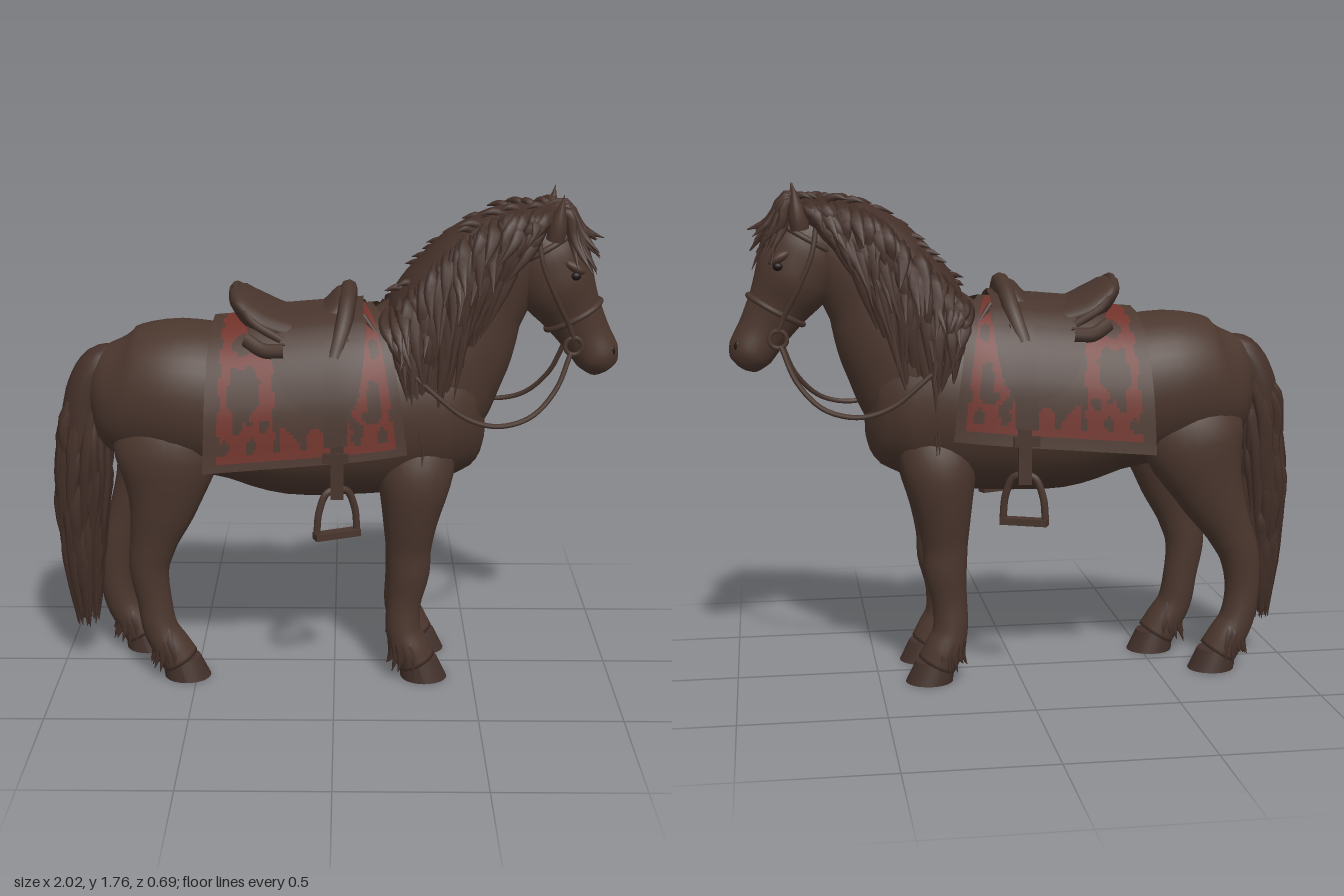
import * as THREE from 'three';
import { mergeGeometries } from 'three/addons/utils/BufferGeometryUtils.js';

const V = (x, y, z) => new THREE.Vector3(x, y, z);
const mat = (name, color, side = THREE.FrontSide) => {
  const m = new THREE.MeshStandardMaterial({ color, side });
  m.name = name;
  return m;
};
let seed = 7;
const rnd = () => (seed = (seed * 16807) % 2147483647) / 2147483647;
const jit = (s) => (rnd() - 0.5) * 2 * s;

// Smooth body through elliptical sections [x, y, z, halfDepth, halfWidthZ]
function loft(rows, steps = 24, sides = 24) {
  const path = new THREE.CatmullRomCurve3(rows.map((r) => V(r[0], r[1], r[2])));
  const size = new THREE.CatmullRomCurve3(rows.map((r) => V(r[3], r[4], 0)));
  const pos = [], idx = [];
  for (let i = 0; i <= steps; i++) {
    const t = i / steps, c = path.getPoint(t), s = size.getPoint(t);
    const d = path.getPoint(Math.min(1, t + 0.01)).sub(path.getPoint(Math.max(0, t - 0.01)));
    const l = Math.hypot(d.x, d.y) || 1;
    for (let j = 0; j < sides; j++) {
      const p = (j / sides) * Math.PI * 2;
      const a = Math.max(0.001, s.x) * Math.cos(p), b = Math.max(0.001, s.y) * Math.sin(p);
      pos.push(c.x - (a * d.y) / l, c.y + (a * d.x) / l, c.z + b);
      if (i < steps) {
        const k = i * sides + j, n = i * sides + ((j + 1) % sides);
        idx.push(k, n, k + sides, n, n + sides, k + sides);
      }
    }
  }
  const first = rows[0], last = rows[rows.length - 1], c0 = pos.length / 3;
  pos.push(first[0], first[1], first[2], last[0], last[1], last[2]);
  for (let j = 0; j < sides; j++) {
    const n = (j + 1) % sides, e = steps * sides;
    idx.push(c0, n, j, c0 + 1, e + j, e + n);
  }
  const g = new THREE.BufferGeometry();
  g.setAttribute('position', new THREE.Float32BufferAttribute(pos, 3));
  g.setIndex(idx);
  g.computeVertexNormals();
  return g;
}

// Tapered lock of hair through points [x, y, z]
const lock = (pts, w, th) => loft(pts.map((p, i) => {
  const k = [0.6, 1, 0.8, 0.04][i];
  return [...p, w * k, th * k];
}), 9, 6);

// Cloth hanging over the back; s runs from -1 (right hem) over 0 (spine) to 1 (left hem)
const hang = new THREE.CatmullRomCurve3(
  [V(0, 1.31, 0), V(0, 1.285, 0.1), V(0, 1.2, 0.205), V(0, 1.05, 0.28), V(0, 0.83, 0.31)]);
function drape(left, right, s0, s1, off, isRed, nu = 40, nv = 60) {
  const pos = [], plain = [], red = [];
  for (let j = 0; j <= nv; j++) {
    const s = s0 + ((s1 - s0) * j) / nv, v = Math.abs(s), p = hang.getPoint(v);
    for (let i = 0; i <= nu; i++) {
      const u = i / nu, x = left(v) + (right(v) - left(v)) * u;
      const z = p.z * (1 - 0.12 * Math.max(0, x / 0.25) ** 2) + off * Math.min(1, v * 3);
      pos.push(x, p.y + (x + 0.43) * 0.085 + off * (1 - v), Math.sign(s) * z);
      if (i < nu && j < nv) {
        const k = j * (nu + 1) + i, n = k + nu + 1;
        (isRed && isRed(u, v) ? red : plain).push(k, n, k + 1, n, n + 1, k + 1);
      }
    }
  }
  const g = new THREE.BufferGeometry();
  g.setAttribute('position', new THREE.Float32BufferAttribute(pos, 3));
  g.setIndex(plain.concat(red));
  g.addGroup(0, plain.length, 0);
  g.addGroup(plain.length, red.length, 1);
  g.computeVertexNormals();
  return g;
}

const tube = (pts, r, closed = false) => new THREE.TubeGeometry(
  new THREE.CatmullRomCurve3(pts.map((p) => V(...p)), closed), 40, r, 8, closed);

export function createModel() {
  const group = new THREE.Group();
  const coat = mat('coat', 0x4a362d), hair = mat('hair', 0x443029), leather = mat('leather', 0x48352d, THREE.DoubleSide);
  const cloth = mat('cloth', 0x4b372e, THREE.DoubleSide), red = mat('red cloth', 0x70322a, THREE.DoubleSide);
  const hoofMat = mat('hoof', 0x42302a), dark = mat('eye', 0x1c1412);
  const add = (name, geo, m) => {
    const mesh = new THREE.Mesh(geo, m);
    mesh.name = name;
    group.add(mesh);
  };

  // Trunk, neck and head
  add('body', loft([[-0.88, 1.06, 0, 0.06, 0.05], [-0.83, 1.055, 0, 0.155, 0.13], [-0.73, 1.035, 0, 0.235, 0.205],
    [-0.55, 1.03, 0, 0.27, 0.248], [-0.35, 1.0, 0, 0.275, 0.25], [-0.15, 0.965, 0, 0.3, 0.262], [0.05, 0.97, 0, 0.305, 0.26],
    [0.25, 0.985, 0, 0.31, 0.24], [0.4, 0.96, 0, 0.275, 0.21], [0.49, 0.94, 0, 0.18, 0.15], [0.53, 0.94, 0, 0.07, 0.06]], 44, 36), coat);
  add('neck', loft([[0.2, 1.0, 0, 0.26, 0.2], [0.29, 1.1, 0, 0.29, 0.21], [0.39, 1.23, 0, 0.25, 0.175],
    [0.5, 1.4, 0, 0.19, 0.13], [0.62, 1.52, 0, 0.15, 0.11], [0.74, 1.57, 0, 0.09, 0.08]], 30, 32), coat);
  add('head', loft([[0.67, 1.65, 0, 0.05, 0.05], [0.69, 1.6, 0, 0.115, 0.09], [0.725, 1.52, 0, 0.148, 0.112],
    [0.77, 1.43, 0, 0.14, 0.115], [0.83, 1.33, 0, 0.106, 0.083], [0.885, 1.24, 0, 0.087, 0.072],
    [0.925, 1.175, 0, 0.08, 0.078], [0.95, 1.13, 0, 0.052, 0.052], [0.956, 1.12, 0, 0.02, 0.02]], 36, 28), coat);

  // Left and right face details
  for (const s of [1, -1]) {
    const ear = new THREE.ConeGeometry(0.045, 0.16, 16, 6);
    const e = ear.attributes.position;
    for (let i = 0; i < e.count; i++) {
      const fat = 1 + 0.5 * Math.max(0, Math.sin(((e.getY(i) + 0.08) / 0.16) * Math.PI));
      e.setXYZ(i, e.getX(i) * fat * 0.7, e.getY(i), e.getZ(i) * fat * 0.9);
    }
    ear.rotateX(0.1 * s).rotateZ(-0.15).translate(0.76, 1.68, 0.118 * s);
    ear.computeVertexNormals();
    add('ear', ear, coat);
    add('eye', new THREE.SphereGeometry(0.018, 14, 10).scale(1, 0.8, 0.7).translate(0.825, 1.475, 0.1 * s), dark);
    add('brow', new THREE.SphereGeometry(0.035, 14, 10).scale(1.2, 0.5, 0.6).rotateZ(-0.5).translate(0.82, 1.505, 0.095 * s), coat);
    add('nostril', new THREE.SphereGeometry(0.016, 12, 8).scale(0.8, 1.2, 0.5).translate(0.967, 1.2, 0.052 * s), dark);
  }

  // Legs: the right hind leg stands further back
  const fore = [[0.29, 0.98, 0.08, 0.15, 0.08], [0.285, 0.78, 0.128, 0.135, 0.105], [0.27, 0.6, 0.128, 0.098, 0.088],
    [0.265, 0.48, 0.122, 0.08, 0.07], [0.265, 0.4, 0.12, 0.077, 0.07], [0.25, 0.28, 0.122, 0.062, 0.058],
    [0.25, 0.18, 0.127, 0.063, 0.063], [0.275, 0.11, 0.13, 0.07, 0.073], [0.3, 0.06, 0.13, 0.07, 0.074]];
  const hind = [[-0.62, 1.1, 0.05, 0.12, 0.08], [-0.59, 0.88, 0.12, 0.19, 0.112], [-0.605, 0.68, 0.13, 0.13, 0.09],
    [-0.645, 0.52, 0.127, 0.085, 0.068], [-0.665, 0.42, 0.123, 0.072, 0.062], [-0.65, 0.29, 0.122, 0.062, 0.058],
    [-0.63, 0.18, 0.127, 0.063, 0.062], [-0.59, 0.11, 0.13, 0.068, 0.071], [-0.56, 0.06, 0.13, 0.07, 0.074]];
  for (const s of [1, -1]) for (const [name, rows] of [['foreleg', fore], ['hindLeg', hind]]) {
    const back = name === 'hindLeg' && s < 0 ? 0.17 : 0;
    const leg = rows.map(([x, y, z, a, b]) => [x - back * Math.min(1, Math.max(0, (1 - y) / 0.7)), y, z * s, a, b]);
    add(name, loft(leg, 32, 24), coat);
    const [hx, , hz] = leg[8];
    const hoof = new THREE.CylinderGeometry(0.07, 0.084, 0.075, 24, 1);
    const p = hoof.attributes.position;
    for (let i = 0; i < p.count; i++) p.setX(i, p.getX(i) - p.getY(i) * 0.3);
    hoof.scale(1, 1, 0.95).translate(hx + 0.014, 0.0375, hz);
    hoof.computeVertexNormals();
    add('hoof', hoof, hoofMat);
    // Feathering round the fetlock
    const tufts = [];
    for (let i = 0; i < 11; i++) {
      const a = (i / 10 - 0.5) * 3.4 + Math.PI, c = Math.cos(a), n = Math.sin(a), d = jit(0.025);
      tufts.push(lock([[hx - 0.045 + c * 0.035, 0.19 + d, hz + n * 0.04], [hx - 0.04 + c * 0.05, 0.15, hz + n * 0.053],
        [hx - 0.025 + c * 0.065, 0.1, hz + n * 0.064], [hx - 0.025 + c * 0.085, 0.05 + d, hz + n * 0.072]], 0.018, 0.014));
    }
    add('fetlockHair', mergeGeometries(tufts), hair);
  }

  // Tail
  add('tailCore', loft([[-0.74, 1.17, 0, 0.04, 0.05], [-0.83, 1.14, 0, 0.065, 0.08], [-0.885, 1.03, 0, 0.075, 0.095],
    [-0.9, 0.8, 0, 0.082, 0.1], [-0.915, 0.55, 0, 0.075, 0.085], [-0.92, 0.35, 0, 0.055, 0.055], [-0.925, 0.17, 0, 0.01, 0.01]], 30, 18), hair);
  const strands = [];
  for (let i = 0; i < 96; i++) {
    const a = i * 2.4, c = Math.cos(a), n = Math.sin(a), top = 1.13 - rnd() * 0.65, len = Math.min(top - 0.15, 0.25 + rnd() * 0.4);
    const at = (f, r) => {
      const y = top - len * f, fat = y > 1 ? 0.75 : 0.4 + 0.6 * Math.min(1, Math.max(0, (y - 0.15) / 0.5));
      return [-0.9 - (y < 0.7 ? 0.015 : 0) + (y > 0.95 ? (y - 0.95) * 0.4 : 0) + c * 0.08 * r * fat, y, n * 0.1 * r * fat];
    };
    strands.push(lock([at(0, 0.75), at(0.35, 1 + jit(0.08)), at(0.7, 1 + jit(0.08)), at(1, 1.05 + jit(0.25))], 0.022, 0.022));
  }
  add('tailLocks', mergeGeometries(strands), hair);

  // Mane and forelock
  add('maneCore', loft([[0.16, 1.27, 0, 0.06, 0.1], [0.24, 1.29, 0, 0.115, 0.155], [0.36, 1.37, 0, 0.155, 0.17],
    [0.48, 1.5, 0, 0.15, 0.15], [0.6, 1.6, 0, 0.112, 0.125], [0.7, 1.64, 0, 0.065, 0.1], [0.78, 1.655, 0, 0.03, 0.05]], 26, 22), hair);
  const crest = new THREE.CatmullRomCurve3([V(0.18, 1.355, 0), V(0.3, 1.475, 0), V(0.45, 1.62, 0), V(0.6, 1.695, 0), V(0.76, 1.71, 0)]);
  const mane = [];
  for (const s of [1, -1]) for (let layer = 0; layer < 4; layer++) for (let i = 0; i < 28; i++) {
    const t = (i + 0.5 + jit(0.4)) / 28, b = crest.getPoint(t), f = 0.4 + layer * 0.22 + jit(0.12);
    const len = (0.2 + 0.4 * Math.sin(Math.PI * Math.pow(t, 0.75))) * f;
    const dx = (0.06 - 0.25 * t) * f + jit(0.03), wide = 0.235 - 0.07 * t - 0.008 * layer;
    const side = 0.75 + 0.08 * layer + jit(0.05);
    mane.push(lock([[b.x + 0.015, b.y - 0.015, 0.015 * s], [b.x + dx * 0.2 + jit(0.01), b.y - len * 0.12 - 0.015, s * wide * 0.62],
      [b.x + dx * 0.5 + jit(0.02), b.y - len * 0.52, s * wide * Math.min(1.02, side + 0.1)],
      [b.x + dx, b.y - len, s * (wide + 0.005 + jit(0.035))]], 0.028, 0.018));
  }
  // Short wisps along the crest
  for (let i = 0; i < 22; i++) {
    const b = crest.getPoint(0.1 + 0.9 * (i / 21)), z = jit(0.07), r = 0.5 + rnd() * 0.5;
    mane.push(lock([[b.x + 0.03, b.y - 0.03, z], [b.x, b.y - 0.005, z * 1.1], [b.x - 0.035 * r, b.y + 0.005, z * 1.3],
      [b.x - 0.08 * r, b.y - 0.005, z * 1.7]], 0.016, 0.022));
  }
  add('maneLocks', mergeGeometries(mane), hair);
  const fringe = [];
  for (let i = 0; i < 32; i++) {
    const k = (i / 31) * 2 - 1, f = 0.35 + rnd() * 0.85, z = k * 0.12 + jit(0.015);
    fringe.push(lock([[0.72 + jit(0.03), 1.685, z * 0.4], [0.79, 1.7 - k * k * 0.02 + jit(0.012), z * 0.8],
      [0.855 - k * k * 0.05, 1.645 - 0.05 * f, z * 1.1], [0.91 - k * k * 0.07 + jit(0.025), 1.66 - 0.17 * f, z * (1.3 + jit(0.45))]], 0.018, 0.018));
  }
  add('forelock', mergeGeometries(fringe), hair);

  // Saddle blanket with red border bands around brown motifs
  const spot = (u, v, cu, cv, ru, rv) => Math.hypot((u - cu) / ru, (v - cv) / rv) < 1 + 0.18 * Math.sin(u * 60) * Math.cos(v * 45);
  const isRed = (u, v) => {
    const wob = 0.02 * Math.sin(v * 37) + 0.015 * Math.sin(u * 41 + 1);
    const side = (u > 0.07 + wob * 0.6 && u < 0.34 + wob) || (u > 0.76 + wob && u < 0.94);
    const hem = v > 0.86 + wob && v < 0.955 && u > 0.07 && u < 0.94;
    const motif = spot(u, v, 0.2, 0.4, 0.07, 0.08) || spot(u, v, 0.19, 0.68, 0.085, 0.14)
      || spot(u, v, 0.86, 0.76, 0.035, 0.09) || spot(u, v, 0.9, 0.5, 0.03, 0.06)
      || (v > 0.8 && Math.sin(u * 48) * Math.sin(v * 40) > 0.45);
    return (side || hem) && v < 0.955 && !motif;
  };
  add('saddleBlanket', drape((v) => -0.42 - 0.03 * v, (v) => 0.13 + 0.12 * v, -1, 1, 0.006, isRed, 60, 130), [cloth, red]);

  // Saddle seat, rims and flaps
  add('saddleSeat', loft([[-0.355, 1.42, 0, 0.015, 0.06], [-0.335, 1.39, 0, 0.04, 0.14], [-0.26, 1.325, 0, 0.06, 0.185],
    [-0.12, 1.285, 0, 0.055, 0.175], [-0.02, 1.315, 0, 0.055, 0.135], [0.04, 1.385, 0, 0.045, 0.095], [0.065, 1.42, 0, 0.015, 0.04]], 30, 26), leather);
  add('cantleRim', tube([[-0.18, 1.27, 0.2], [-0.28, 1.33, 0.18], [-0.33, 1.395, 0.1], [-0.345, 1.42, 0],
    [-0.33, 1.395, -0.1], [-0.28, 1.33, -0.18], [-0.18, 1.27, -0.2]], 0.014), leather);
  add('pommelArch', tube([[0.0, 1.21, 0.235], [0.03, 1.31, 0.175], [0.045, 1.385, 0.09], [0.05, 1.41, 0],
    [0.045, 1.385, -0.09], [0.03, 1.31, -0.175], [0.0, 1.21, -0.235]], 0.03), leather);
  add('saddleSkirt', drape((v) => -0.33 + 0.1 * v, () => 0.1, -0.45, 0.45, 0.03), leather);
  for (const s of [1, -1]) {
    const down = (v) => (v - 0.3) / 0.52;
    add('saddleFlap', drape((v) => -0.25 + 0.08 * down(v) + 0.1 * down(v) ** 7, (v) => 0.11 - 0.02 * down(v) - 0.05 * down(v) ** 7,
      0.3 * s, 0.82 * s, 0.02), leather);
    add('flapRoll', tube([[-0.3, 1.27, 0.19 * s], [-0.24, 1.24, 0.22 * s], [-0.17, 1.24, 0.228 * s]], 0.026), leather);
    add('stirrupLeather', drape(() => -0.035, () => 0.045, 0.3 * s, 0.93 * s, 0.03), leather);
    add('stirrupStrap', new THREE.BoxGeometry(0.045, 0.2, 0.02).translate(0.01, 0.84, 0.312 * s), leather);
    add('strapBuckle', new THREE.BoxGeometry(0.09, 0.035, 0.016).translate(0.005, 0.89, 0.325 * s), leather);
    // Stirrup iron and tread
    const stirrup = new THREE.Group();
    stirrup.name = 'stirrup';
    const iron = new THREE.Mesh(tube([[-0.075, 0.01, 0], [-0.066, 0.09, 0], [-0.035, 0.155, 0], [0.035, 0.155, 0],
      [0.066, 0.09, 0], [0.075, 0.01, 0]], 0.013), leather);
    iron.name = 'stirrupIron';
    const tread = new THREE.Mesh(new THREE.BoxGeometry(0.165, 0.024, 0.04), leather);
    tread.name = 'stirrupTread';
    stirrup.add(iron, tread);
    stirrup.position.set(0.01, 0.607, 0.295 * s);
    stirrup.rotation.y = 0.4 * s;
    group.add(stirrup);
    // Bit ring, cheek strap and rein
    add('bitRing', new THREE.TorusGeometry(0.03, 0.008, 8, 20).translate(0.83, 1.225, 0.083 * s), leather);
    add('cheekStrap', tube([[0.69, 1.64, 0.1 * s], [0.71, 1.52, 0.12 * s], [0.76, 1.4, 0.116 * s], [0.81, 1.3, 0.088 * s], [0.83, 1.25, 0.083 * s]], 0.009), leather);
    add('rein', tube([[0.82, 1.2, 0.085 * s], [0.77, 1.08, 0.12 * s], [0.68, 0.99, 0.16 * s], [0.56, 0.965, 0.19 * s],
      [0.45, 1.0, 0.205 * s], [0.35, 1.08, 0.212 * s], [0.2, 1.22, 0.2 * s], [0.1, 1.34, 0.12 * s]], 0.009), leather);
  }

  // Noseband and browband
  const band = (name, x, y, a, b) => {
    const pts = [];
    for (let i = 0; i < 16; i++) {
      const p = (i / 16) * Math.PI * 2;
      pts.push([x + a * Math.cos(p) * 0.87, y + a * Math.cos(p) * 0.49, b * Math.sin(p)]);
    }
    add(name, tube(pts, 0.011, true), leather);
  };
  band('noseband', 0.835, 1.32, 0.106, 0.084);
  band('browband', 0.71, 1.56, 0.135, 0.105);
  return group;
}
